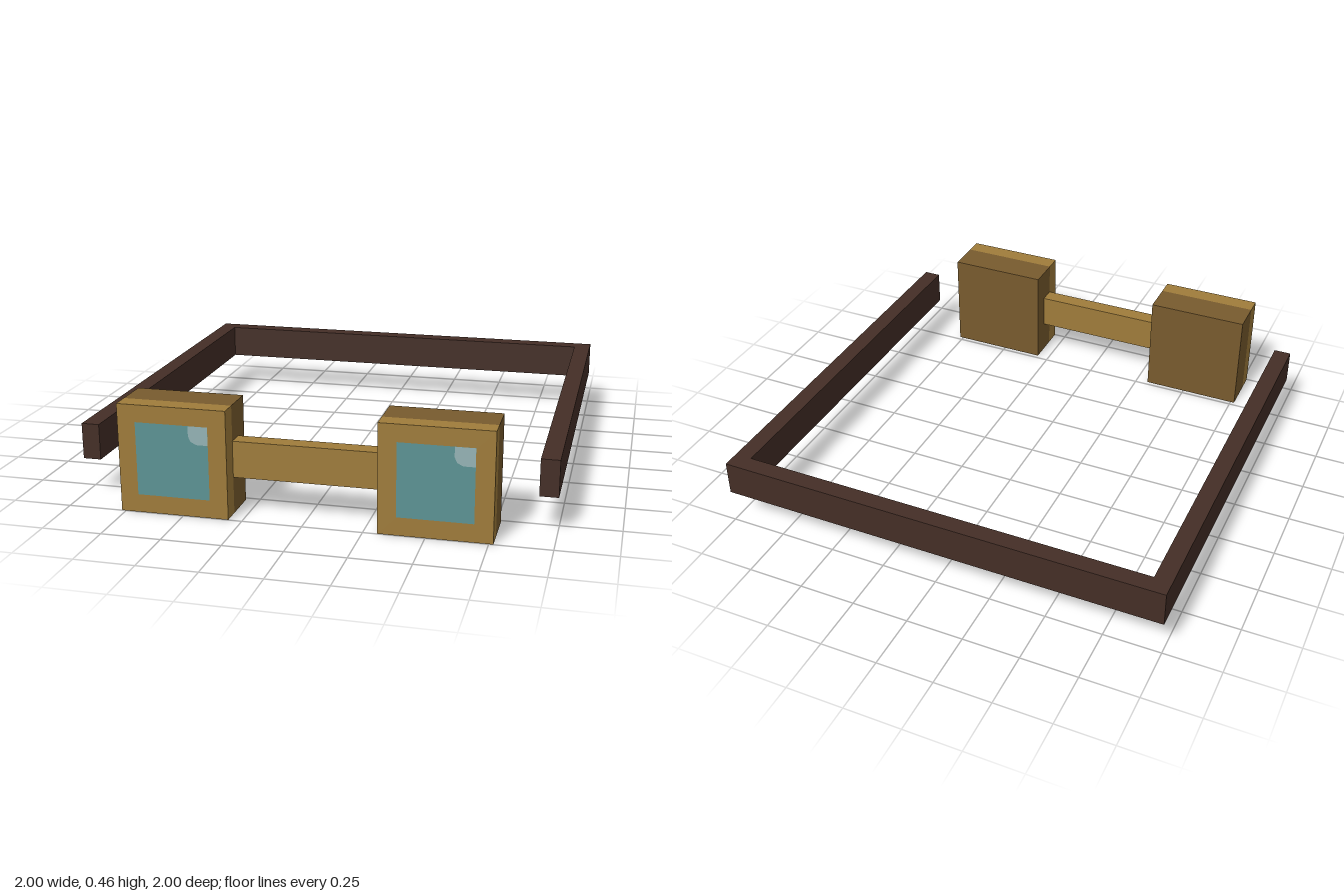
import * as THREE from 'three';

const material = (name, color, side = THREE.FrontSide) => {
  const m = new THREE.MeshStandardMaterial({ color, side });
  m.name = name;
  return m;
};

export function createModel() {
  const model = new THREE.Group();
  model.name = 'goggles';

  const brass = material('brass', 0x9f7c3b);
  const darkBrass = material('dark brass', 0x785b2e);
  const leather = material('dark leather', 0x442e26);
  const glass = material('teal glass', 0x5c9395, THREE.DoubleSide);
  const shine = material('glass shine', 0x95b4b6, THREE.DoubleSide);

  // Box spanning two opposite corners
  const box = (name, mat, [x0, y0, z0], [x1, y1, z1], parent = model) => {
    const mesh = new THREE.Mesh(new THREE.BoxGeometry(x1 - x0, y1 - y0, z1 - z0), mat);
    mesh.position.set((x0 + x1) / 2, (y0 + y1) / 2, (z0 + z1) / 2);
    mesh.name = name;
    parent.add(mesh);
    return mesh;
  };

  // Flat front-facing plate from corner points
  const plate = (name, mat, points, z, parent) => {
    const shape = new THREE.Shape(points.map(([x, y]) => new THREE.Vector2(x, y)));
    const mesh = new THREE.Mesh(new THREE.ShapeGeometry(shape), mat);
    mesh.position.z = z;
    mesh.name = name;
    parent.add(mesh);
  };

  // Eyepieces: dark cup behind a brass rim, with glass and a corner shine
  for (const [side, x] of [['left', 0.538], ['right', -0.538]]) {
    const eyepiece = new THREE.Group();
    eyepiece.name = side + 'Eyepiece';
    eyepiece.position.x = x;
    box('cup', darkBrass, [-0.23, 0, 0.77], [0.23, 0.46, 0.92], eyepiece);
    box('rim', brass, [-0.23, 0, 0.92], [0.23, 0.46, 0.998], eyepiece);
    plate('lens', glass,
      [[-0.154, 0.077], [0.154, 0.077], [0.154, 0.387], [-0.154, 0.387]], 0.999, eyepiece);
    plate('lensShine', shine,
      [[0.072, 0.387], [0.072, 0.345], [0.082, 0.322], [0.106, 0.31], [0.154, 0.31], [0.154, 0.387]],
      1.0, eyepiece);
    model.add(eyepiece);
  }

  // Nose bridge
  box('bridge', brass, [-0.308, 0.155, 0.845], [0.308, 0.31, 0.92]);

  // Head strap: two sides and the back
  box('leftStrap', leather, [0.923, 0.155, -1], [1, 0.31, 0.845]);
  box('rightStrap', leather, [-1, 0.155, -1], [-0.923, 0.31, 0.845]);
  box('backStrap', leather, [-0.923, 0.155, -1], [0.923, 0.31, -0.923]);

  return model;
}
